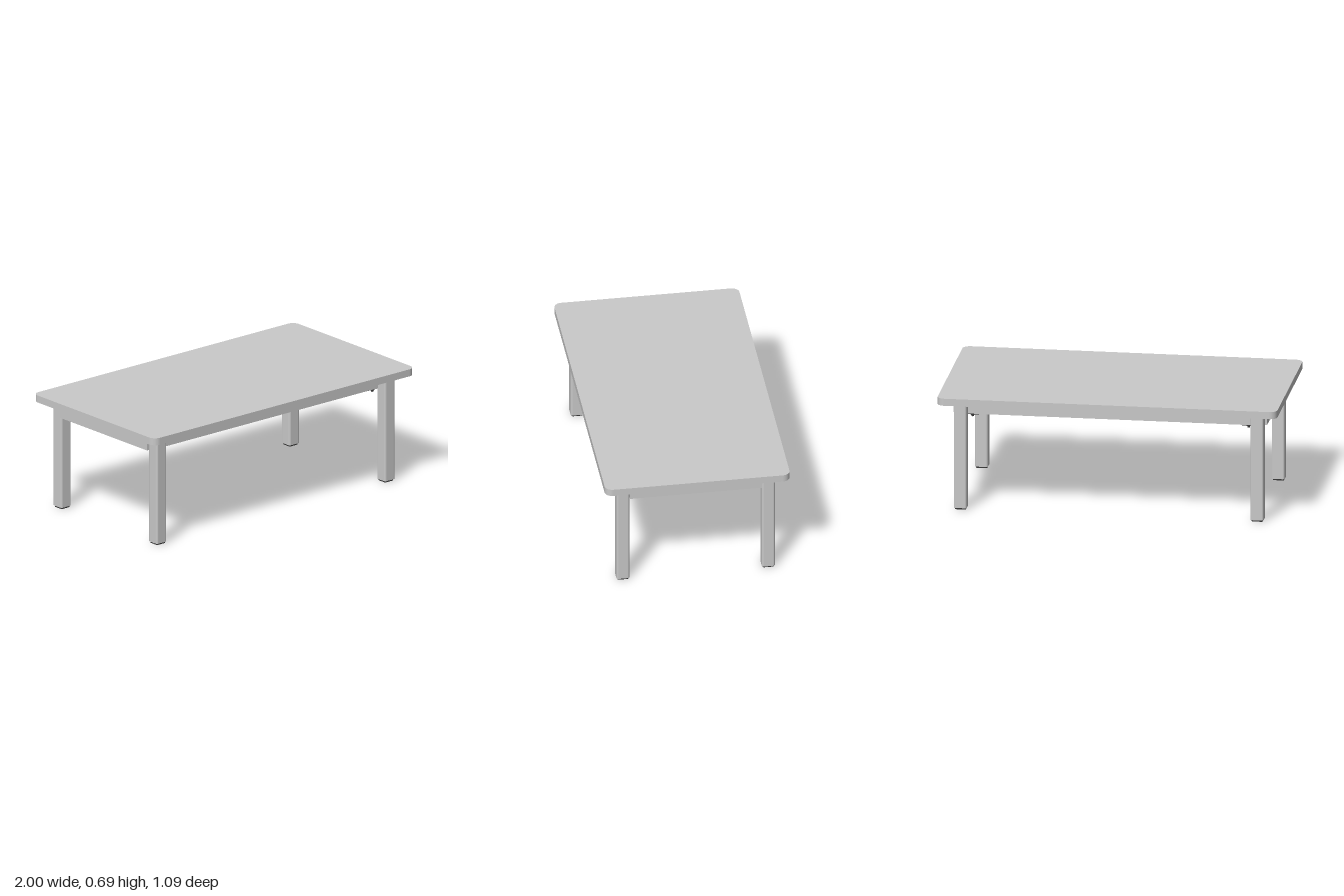
import * as THREE from 'three';

const wood = new THREE.MeshStandardMaterial({ name: 'light grey', color: 0xc9c9c9 });
const steel = new THREE.MeshStandardMaterial({ name: 'dark green grey', color: 0x363e36 });
const black = new THREE.MeshStandardMaterial({ name: 'charcoal', color: 0x383838 });

// Upright slab with rounded vertical corners, from y0 to y1
function slab(w, d, r, y0, y1, segments = 8) {
  const x = w / 2, z = d / 2;
  const s = new THREE.Shape();
  s.moveTo(-x + r, -z);
  s.lineTo(x - r, -z);
  s.absarc(x - r, -z + r, r, -Math.PI / 2, 0);
  s.lineTo(x, z - r);
  s.absarc(x - r, z - r, r, 0, Math.PI / 2);
  s.lineTo(-x + r, z);
  s.absarc(-x + r, z - r, r, Math.PI / 2, Math.PI);
  s.lineTo(-x, -z + r);
  s.absarc(-x + r, -z + r, r, Math.PI, Math.PI * 1.5);
  const g = new THREE.ExtrudeGeometry(s, { depth: y1 - y0, bevelEnabled: false, curveSegments: segments });
  return g.rotateX(-Math.PI / 2).translate(0, y0, 0);
}

export function createModel() {
  const table = new THREE.Group();
  table.name = 'table';

  function add(name, geometry, material, x = 0, y = 0, z = 0) {
    const m = new THREE.Mesh(geometry, material);
    m.name = name;
    m.position.set(x, y, z);
    table.add(m);
    return m;
  }
  // Box given by its limits on each axis
  function box(name, material, xs, ys, zs) {
    const size = [xs, ys, zs].map(([a, b]) => Math.abs(b - a));
    const mid = [xs, ys, zs].map(([a, b]) => (a + b) / 2);
    return add(name, new THREE.BoxGeometry(...size), material, ...mid);
  }

  add('tabletop', slab(2, 1.09, 0.045, 0.65, 0.693), wood);

  const legGeometry = slab(0.077, 0.077, 0.012, 0.009, 0.645, 4);
  const footGeometry = slab(0.066, 0.066, 0.01, 0, 0.009, 4);
  const topPlateGeometry = slab(0.04, 0.05, 0.005, 0.645, 0.65, 3);
  const washer = new THREE.CylinderGeometry(0.013, 0.013, 0.005, 16);
  const nut = new THREE.CylinderGeometry(0.008, 0.008, 0.012, 6);
  const hole = new THREE.CylinderGeometry(0.006, 0.006, 0.004, 12).rotateX(Math.PI / 2);

  for (const s of [-1, 1]) {
    // Long aprons sit between the legs, end aprons stand just proud of them
    box('longApron', wood, [-0.835, 0.835], [0.567, 0.65], [s * 0.385, s * 0.403]);
    box('endApron', wood, [s * 0.904, s * 0.922], [0.567, 0.65], [-0.389, 0.389]);

    // Steel frame inside the aprons
    box('longRail', steel, [-0.85, 0.85], [0.569, 0.649], [s * 0.335, s * 0.372]);
    box('endRail', steel, [s * 0.85, s * 0.895], [0.569, 0.649], [-0.372, 0.372]);
    for (const x of [-0.5, 0, 0.5]) add('railHole', hole, black, x, 0.61, s * 0.334);
    for (const z of [-0.17, 0.17]) {
      add('railHole', hole, black, s * 0.849, 0.61, z).rotation.y = Math.PI / 2;
    }
    // Fixing tab under the top at the middle of each end
    box('middleTab', black, [s * 0.77, s * 0.85], [0.645, 0.65], [-0.035, 0.035]);

    for (const t of [-1, 1]) {
      const x = s * 0.8735, z = t * 0.4285;
      add('leg', legGeometry, wood, x, 0, z);
      add('footPad', footGeometry, black, x, 0, z);
      add('legTopPlate', topPlateGeometry, black, x, 0, z);

      // Corner fixings
      box('cornerTab', black, [s * 0.765, s * 0.85], [0.645, 0.65], [t * 0.27, t * 0.335]);
      box('cornerPlate', black, [s * 0.775, s * 0.895], [0.56, 0.568], [t * 0.31, t * 0.389]);
      for (const [bx, bz] of [[0.812, 0.378], [0.872, 0.326]]) {
        add('boltWasher', washer, black, s * bx, 0.558, t * bz);
        add('boltNut', nut, black, s * bx, 0.552, t * bz);
      }
    }
  }
  return table;
}
